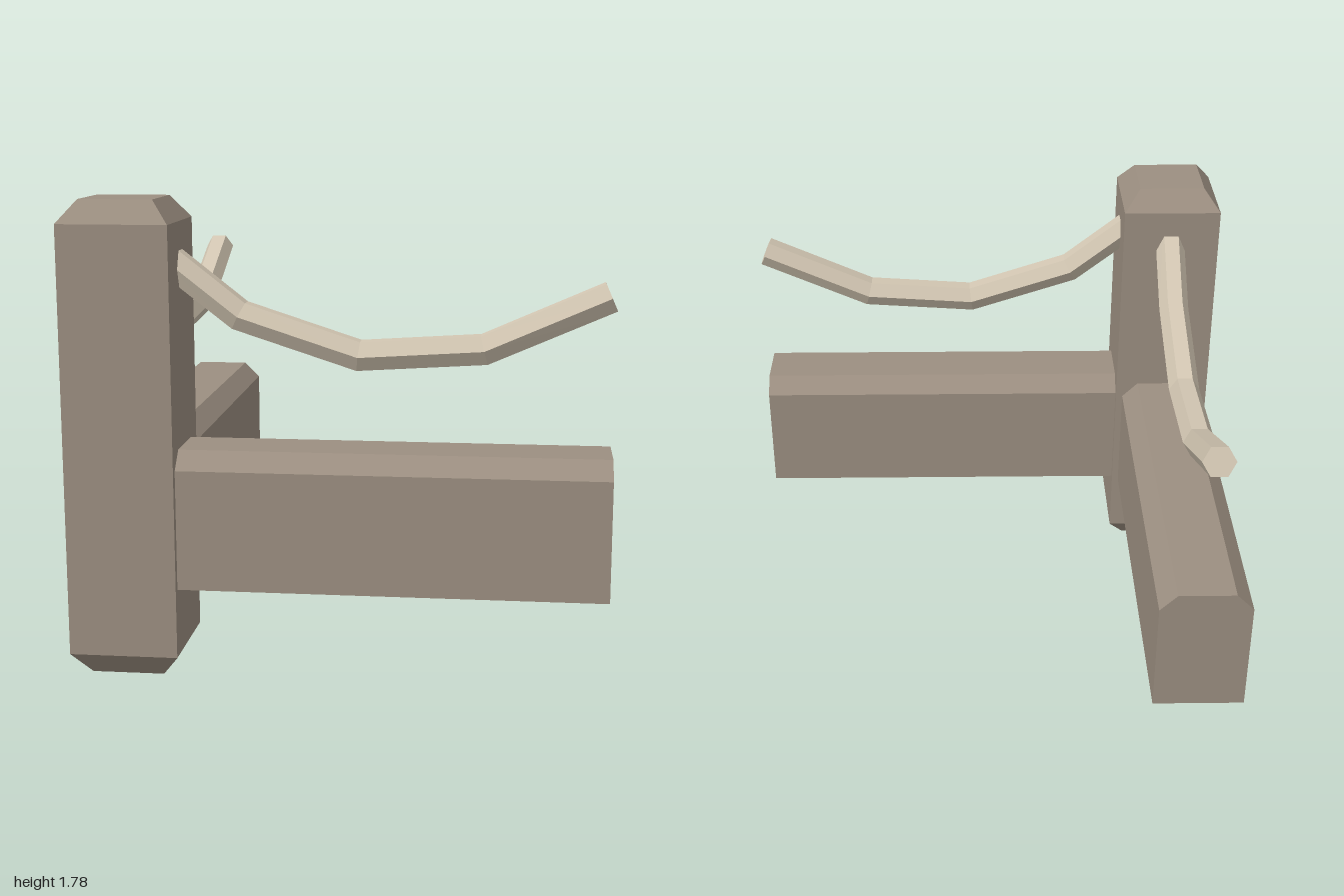
import * as THREE from 'three';

const wood = new THREE.MeshStandardMaterial({ name: 'weatheredWood', color: 0x9c8f81, flatShading: true });
const rope = new THREE.MeshStandardMaterial({ name: 'paleRope', color: 0xd2c6b2, flatShading: true });

const CORNER = 0.795; // distance of the post axis from the centre

function part(name, geometry, material) {
  const mesh = new THREE.Mesh(geometry, material);
  mesh.name = name;
  return mesh;
}

// Square post with chamfered top and bottom
function postGeometry() {
  const profile = [[0, 0], [0.137, 0], [0.205, 0.09], [0.205, 1.7], [0.137, 1.785], [0, 1.785]]
    .map(([half, y]) => new THREE.Vector2(half * Math.SQRT2, y));
  return new THREE.LatheGeometry(profile, 4).rotateY(Math.PI / 4).toNonIndexed();
}

// Rail with chamfered upper edges, running along +x
function railGeometry() {
  const outline = [[-0.177, 0.347], [0.177, 0.347], [0.177, 0.8], [0.11, 0.866], [-0.11, 0.866], [-0.177, 0.8]]
    .map(([z, y]) => new THREE.Vector2(z, y));
  const geometry = new THREE.ExtrudeGeometry(new THREE.Shape(outline), { depth: 1.645, bevelEnabled: false });
  return geometry.rotateY(Math.PI / 2).translate(0.15, 0, 0);
}

// Six-sided sagging rope: one ring per path point, joined in loops and capped
function ropeGeometry() {
  const path = [[0.135, 1.58], [0.423, 1.355], [0.865, 1.212], [1.325, 1.242], [1.778, 1.441]]
    .map(([x, y]) => new THREE.Vector2(x, y));
  const sides = 6, radius = 0.062, last = path.length - 1;
  const positions = [], index = [];
  path.forEach((p, i) => {
    const before = p.clone().sub(path[Math.max(i - 1, 0)]).normalize();
    const after = path[Math.min(i + 1, last)].clone().sub(p).normalize();
    const t = before.add(after).normalize();
    for (let j = 0; j < sides; j++) {
      const a = j / sides * Math.PI * 2;
      const up = Math.sin(a) * radius;
      positions.push(p.x - t.y * up, p.y + t.x * up, Math.cos(a) * radius);
    }
  });
  for (let i = 0; i < last; i++) {
    for (let j = 0; j < sides; j++) {
      const a = i * sides + j, b = i * sides + (j + 1) % sides;
      index.push(a, a + sides, b, b, a + sides, b + sides);
    }
  }
  for (let j = 1; j < sides - 1; j++) {
    const e = last * sides;
    index.push(0, j, j + 1, e, e + j + 1, e + j);
  }
  const geometry = new THREE.BufferGeometry();
  geometry.setAttribute('position', new THREE.Float32BufferAttribute(positions, 3));
  geometry.setIndex(index);
  const flat = geometry.toNonIndexed();
  flat.computeVertexNormals();
  return flat;
}

export function createModel() {
  const fence = new THREE.Group();
  fence.name = 'cornerFence';
  fence.position.set(-CORNER, 0, CORNER);
  fence.add(part('cornerPost', postGeometry(), wood));

  // Two identical arms at a right angle
  const rail = railGeometry(), sag = ropeGeometry();
  ['front', 'side'].forEach((name, i) => {
    const arm = new THREE.Group();
    arm.name = name + 'Arm';
    arm.add(part(name + 'Rail', rail, wood), part(name + 'Rope', sag, rope));
    arm.rotation.y = i * Math.PI / 2;
    fence.add(arm);
  });

  const model = new THREE.Group();
  model.add(fence);
  return model;
}
